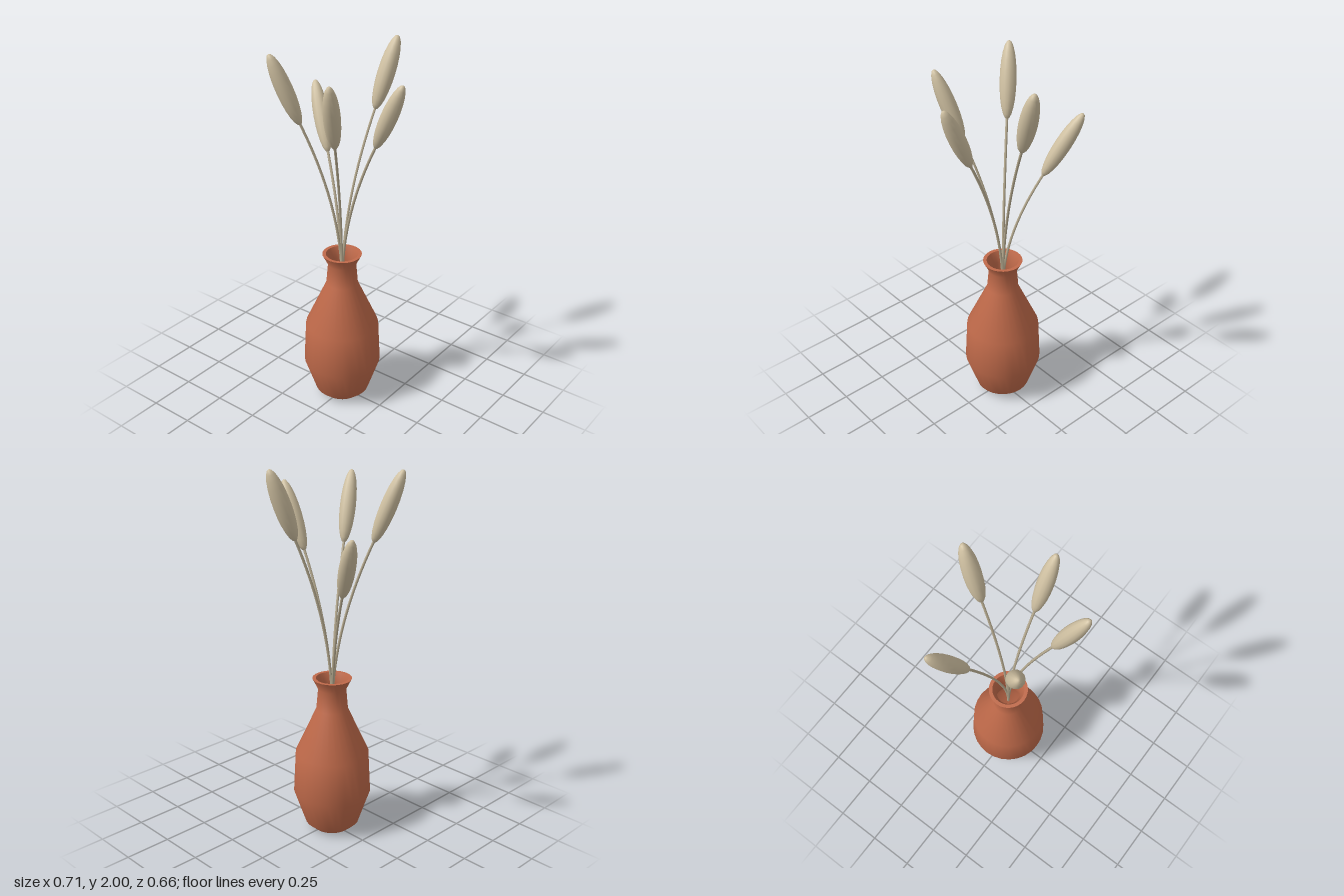
import * as THREE from 'three';

const clay = new THREE.MeshStandardMaterial({ color: 0xc06a4a, side: THREE.DoubleSide });
clay.name = 'terracotta';
const straw = new THREE.MeshStandardMaterial({ color: 0xd0c1a2 });
straw.name = 'straw';
const stalk = new THREE.MeshStandardMaterial({ color: 0xb9ad92 });
stalk.name = 'dry stalk';

const UP = new THREE.Vector3(0, 1, 0);
const CENTRE = new THREE.Vector3(-0.01, 0, 0.005);

function lathe(name, profile) {
  const points = profile.map(([r, y]) => new THREE.Vector2(r, y));
  const mesh = new THREE.Mesh(new THREE.LatheGeometry(points, 28), clay);
  mesh.name = name;
  mesh.position.copy(CENTRE);
  return mesh;
}

// One dried stem: a stalk rising straight, then leaning outward, with a seed head on its end
function grassStem(base, tip, radius) {
  const stem = new THREE.Group();
  stem.name = 'grassStem';
  const start = CENTRE.clone().setY(0.7);
  const bend = CENTRE.clone().setY((start.y + base.y) / 2);
  const axis = tip.clone().sub(base);
  const length = axis.length();
  const dir = axis.normalize();

  const end = base.clone().addScaledVector(dir, 0.02);
  const curve = new THREE.QuadraticBezierCurve3(start, bend, end);
  const tube = new THREE.Mesh(new THREE.TubeGeometry(curve, 16, 0.007, 6), stalk);
  tube.name = 'stalk';

  const shape = new THREE.SphereGeometry(1, 14, 12);
  shape.scale(radius, length / 2, radius);
  const head = new THREE.Mesh(shape, straw);
  head.name = 'seedHead';
  head.position.copy(base).add(tip).multiplyScalar(0.5);
  head.quaternion.setFromUnitVectors(UP, dir);
  stem.add(tube, head);
  return stem;
}

export function createModel() {
  const model = new THREE.Group();
  model.name = 'vaseWithDriedGrass';

  // Vase, open at the foot
  model.add(
    lathe('vaseBody', [
      [0.103, 0], [0.148, 0.04], [0.21, 0.225], [0.198, 0.455],
      [0.085, 0.705], [0.075, 0.82], [0.105, 0.88],
    ]),
    lathe('vaseRim', [[0.105, 0.88], [0.086, 0.88]]),
    lathe('vaseThroat', [[0.086, 0.88], [0.062, 0.82], [0.072, 0.7]]),
  );

  // Seed heads: base, tip, radius
  const heads = [
    [[0.194, 1.53, 0.005], [0.348, 1.88, 0.005], 0.042],
    [[0.046, 1.64, -0.193], [0.088, 2.0, -0.32], 0.045],
    [[-0.184, 1.38, -0.1], [-0.35, 1.714, -0.203], 0.042],
    [[-0.16, 1.61, 0.145], [-0.262, 1.974, 0.246], 0.043],
    [[0.09, 1.56, 0.188], [0.16, 1.918, 0.318], 0.042],
  ];
  for (const [base, tip, radius] of heads) {
    model.add(grassStem(new THREE.Vector3(...base), new THREE.Vector3(...tip), radius));
  }
  return model;
}
